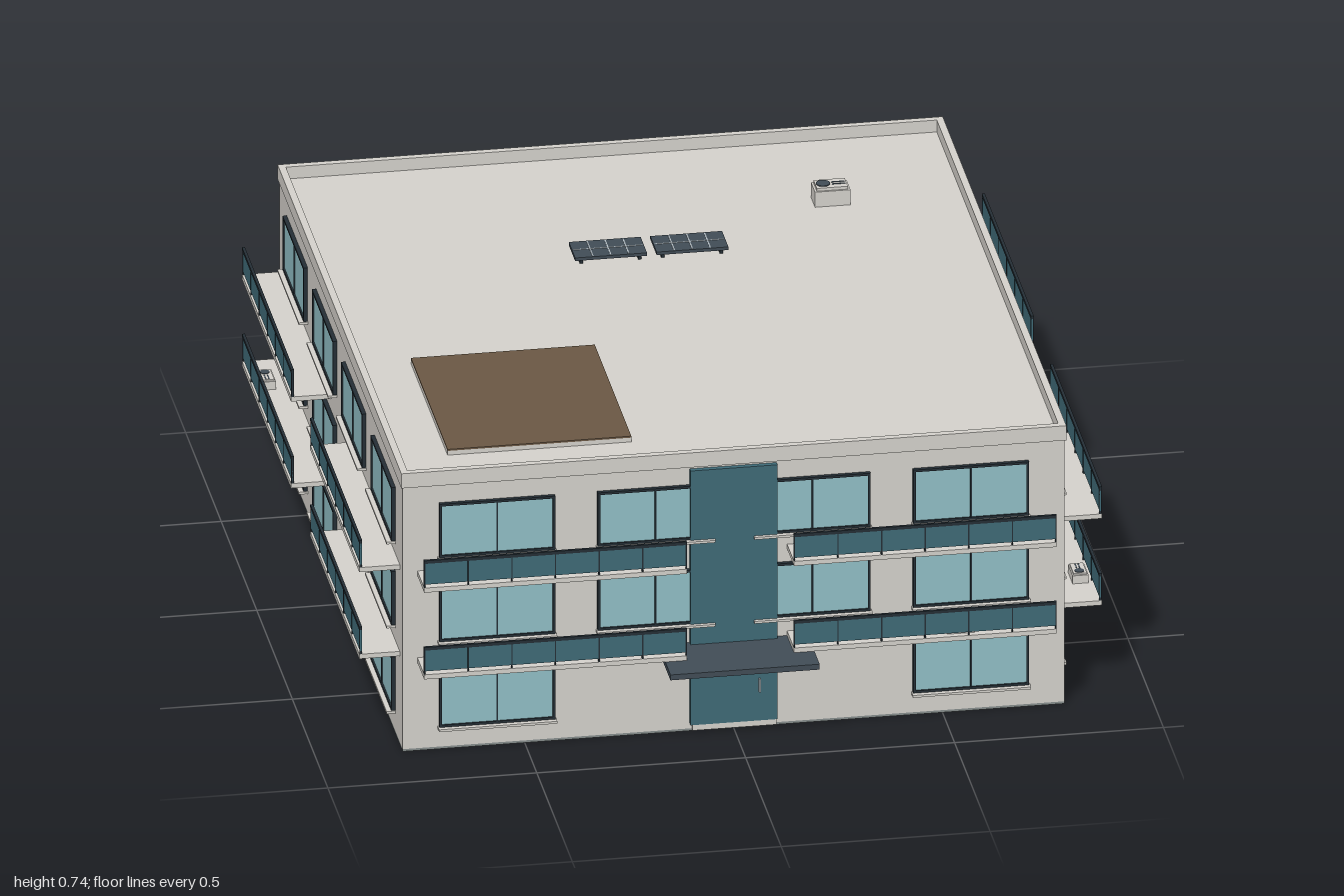
import * as THREE from 'three';

const mat = (name, color) => Object.assign(new THREE.MeshStandardMaterial({ color }), { name });

export function createModel() {
  const wall = mat('concrete', 0xd8d5cf);
  const pane = mat('windowGlass', 0x93c2c9);
  const teal = mat('tealGlass', 0x406c79);
  const dark = mat('darkFrame', 0x252f36);
  const slate = mat('slate', 0x424e58);
  const brown = mat('timberDeck', 0x6c5945);
  const base = mat('basePlate', 0x88908f);
  const line = mat('panelLines', 0xb8c2c8);

  const root = new THREE.Group();
  root.name = 'apartmentBuilding';

  // Box given by its minimum and maximum corners
  function box(parent, name, m, x0, x1, y0, y1, z0, z1) {
    const mesh = new THREE.Mesh(new THREE.BoxGeometry(x1 - x0, y1 - y0, z1 - z0), m);
    mesh.position.set((x0 + x1) / 2, (y0 + y1) / 2, (z0 + z1) / 2);
    mesh.name = name;
    parent.add(mesh);
  }
  function group(parent, name, x = 0, y = 0, z = 0) {
    const g = new THREE.Group();
    g.name = name;
    g.position.set(x, y, z);
    parent.add(g);
    return g;
  }

  const HX = 0.792, ZF = 0.83, ZB = -0.902, ZC = (ZF + ZB) / 2, HZ = (ZF - ZB) / 2;
  const DECK = 0.695, TOP = 0.726;

  // Main volume and parapet
  box(root, 'basePlate', base, -HX, HX, 0, 0.006, ZB, ZF);
  box(root, 'walls', wall, -HX, HX, 0.006, DECK, ZB, ZF);
  const rect = (P, x, z) => {
    const p = new P();
    p.moveTo(-x, -z); p.lineTo(x, -z); p.lineTo(x, z); p.lineTo(-x, z); p.closePath();
    return p;
  };
  const ring = rect(THREE.Shape, HX + 0.004, HZ + 0.004);
  ring.holes.push(rect(THREE.Path, HX - 0.013, HZ - 0.013));
  const parapet = new THREE.Mesh(
    new THREE.ExtrudeGeometry(ring, { depth: TOP - DECK + 0.007, bevelEnabled: false }), wall);
  parapet.name = 'parapet';
  parapet.rotation.x = -Math.PI / 2;
  parapet.position.set(0, DECK - 0.007, ZC);
  root.add(parapet);

  // Window: local z points out of the wall
  function addWindow(parent, x, y, w, h) {
    const g = group(parent, 'window', x, y, 0);
    const t = 0.006, d = 0.01, a = w / 2;
    box(g, 'glass', pane, -a + t, a - t, t, h - t, 0, 0.006);
    box(g, 'frameTop', dark, -a, a, h - t, h, 0, d);
    box(g, 'frameBottom', dark, -a, a, 0, t, 0, d);
    for (const s of [-1, 1])
      box(g, 'frameSide', dark, s * (a - t / 2) - t / 2, s * (a - t / 2) + t / 2, t, h - t, 0, d);
    box(g, 'mullion', dark, -0.002, 0.002, t, h - t, 0, 0.009);
    box(g, 'sill', wall, -a - 0.003, a + 0.003, -0.006, 0, 0, 0.022);
  }

  // Balcony: slab with a glazed railing along its outer edge
  function addBalcony(parent, x0, x1, y) {
    const g = group(parent, 'balcony', 0, y, 0);
    const D = 0.097, n = 6;
    box(g, 'slab', wall, x0, x1, -0.012, 0, 0, D);
    box(g, 'railGlass', teal, x0, x1, 0.008, 0.063, D - 0.006, D - 0.002);
    box(g, 'topRail', dark, x0, x1, 0.063, 0.071, D - 0.007, D);
    for (let i = 0; i <= n; i++) {
      const x = x0 + 0.0015 + (x1 - x0 - 0.003) * i / n;
      box(g, 'post', dark, x - 0.0015, x + 0.0015, 0, 0.063, D - 0.007, D - 0.001);
    }
  }

  // Cooling unit with a round fan and vent slots on top
  function addCooler(parent, x, y, z, w, h, d) {
    const g = group(parent, 'coolingUnit', x, y, z);
    box(g, 'casing', wall, -w / 2, w / 2, 0, h * 0.8, -d / 2, d / 2);
    box(g, 'lid', wall, -w * 0.44, w * 0.44, h * 0.8, h * 0.95, -d * 0.42, d * 0.42);
    const fan = new THREE.Mesh(new THREE.CylinderGeometry(d * 0.3, d * 0.3, h * 0.06, 16), slate);
    fan.name = 'fan';
    fan.position.set(-w * 0.22, h * 0.97, 0);
    g.add(fan);
    for (const s of [-1, 1])
      box(g, 'slot', slate, 0.02 * w, w * 0.4, h * 0.95, h * 0.98, s * d * 0.1 - 0.0015, s * d * 0.1 + 0.0015);
  }

  // Four facades
  const floors = [0.06, 0.283, 0.502], slabs = [0.242, 0.468];
  const narrow = { win: [0.188, 0.567], w: 0.277, bal: [0.128, 0.757], unit: 0.53 };
  const wide = { win: [0.205, 0.617], w: 0.295, bal: [0.135, 0.825], unit: -0.69 };
  const facades = [
    ['frontFacade', 0, 0, ZF, narrow],
    ['backFacade', Math.PI, 0, ZB, narrow],
    ['leftFacade', Math.PI / 2, HX, ZC, wide],
    ['rightFacade', -Math.PI / 2, -HX, ZC, wide],
  ];
  for (const [name, turn, x, z, f] of facades) {
    const g = group(root, name, x, 0, z);
    g.rotation.y = turn;
    for (const s of [-1, 1]) {
      floors.forEach((y, k) => f.win.forEach((c, i) => {
        if (name === 'frontFacade' && k === 0 && i === 0) return;
        addWindow(g, s * c, y, f.w, 0.14);
      }));
      const [a, b] = f.bal;
      for (const y of slabs) addBalcony(g, s > 0 ? a : -b, s > 0 ? b : -a, y);
    }
    addCooler(g, f.unit, slabs[0], 0.063, 0.065, 0.026, 0.038);
  }

  // Entrance: glazed stair strip, threshold, handle and canopy
  const entrance = group(root, 'entrance', 0, 0, ZF);
  box(entrance, 'glassStrip', teal, -0.105, 0.103, 0.02, 0.683, 0, 0.013);
  box(entrance, 'threshold', wall, -0.1, 0.1, 0.006, 0.02, 0, 0.013);
  box(entrance, 'doorHandle', line, 0.058, 0.062, 0.095, 0.13, 0.013, 0.018);
  box(entrance, 'canopy', slate, -0.18, 0.177, 0.216, 0.23, 0, 0.17);

  // Roof deck on its curb, solar panels and cooling unit
  box(root, 'deckCurb', wall, -0.66, -0.22, DECK, 0.706, 0.17, 0.685);
  box(root, 'timberDeck', brown, -0.66, -0.22, 0.706, 0.71, 0.17, 0.685);
  for (const x of [-0.1, 0.095]) {
    const p = group(root, 'solarPanel', x, 0.709, -0.35);
    box(p, 'panel', slate, -0.086, 0.086, -0.004, 0.004, -0.045, 0.045);
    for (const i of [-1, 0, 1])
      box(p, 'gridLine', line, i * 0.043 - 0.0015, i * 0.043 + 0.0015, 0.004, 0.005, -0.042, 0.042);
    box(p, 'gridLine', line, -0.083, 0.083, 0.004, 0.005, -0.0015, 0.0015);
    for (const s of [-1, 1])
      box(p, 'foot', dark, s * 0.07 - 0.004, s * 0.07 + 0.004, -0.014, -0.004, -0.04, 0.04);
  }
  addCooler(root, 0.468, DECK, -0.553, 0.085, 0.049, 0.056);

  return root;
}
